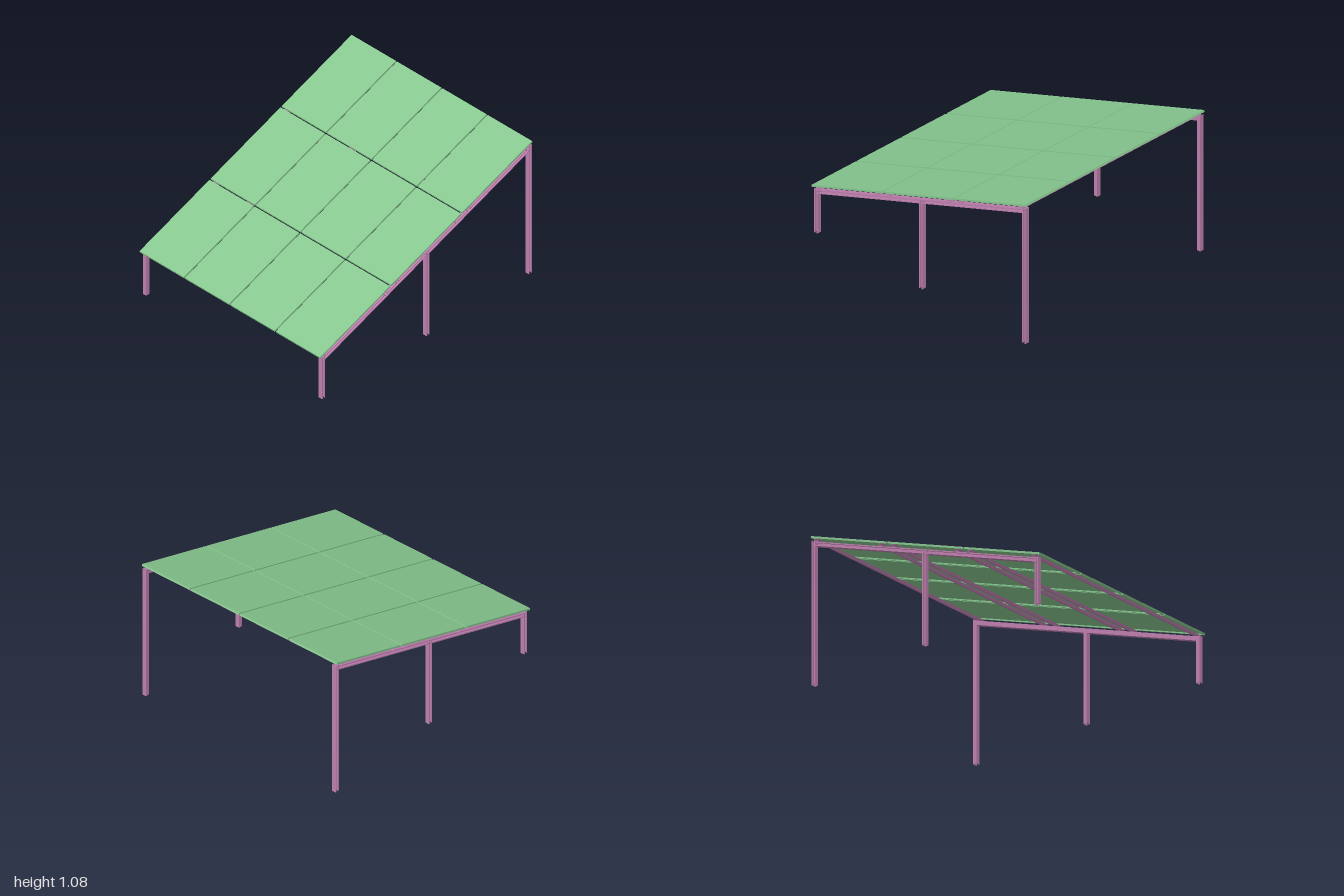
import * as THREE from 'three';

const TILT = THREE.MathUtils.degToRad(20);
const green = new THREE.MeshStandardMaterial({ color: 0x88c890 });
const pink = new THREE.MeshStandardMaterial({ color: 0xc080b0 });

function add(parent, name, geometry, material, x, y, z) {
  const mesh = new THREE.Mesh(geometry, material);
  mesh.name = name;
  mesh.position.set(x, y, z);
  parent.add(mesh);
  return mesh;
}

// Lipped C-channel running along z, centred, with its slot towards +y
function channel(width, depth, length, lip = 0.008, t = 0.003) {
  const w = width / 2, d = depth / 2;
  const shape = new THREE.Shape([
    [-w, -d], [w, -d], [w, d], [w - lip, d], [w - lip, d - t], [w - t, d - t],
    [w - t, -d + t], [-w + t, -d + t], [-w + t, d - t], [-w + lip, d - t],
    [-w + lip, d], [-w, d],
  ].map(([x, y]) => new THREE.Vector2(x, y)));
  return new THREE.ExtrudeGeometry(shape, { depth: length, bevelEnabled: false })
    .translate(0, 0, -length / 2);
}

// Solar panel: thin sheet with a frame hanging below its rim
function panel(width, length, thickness) {
  const group = new THREE.Group();
  group.name = 'panel';
  const sheet = 0.005, rim = 0.008, drop = thickness - sheet;
  add(group, 'sheet', new THREE.BoxGeometry(width, sheet, length), green, 0, (thickness - sheet) / 2, 0);
  for (const s of [-1, 1]) {
    add(group, 'sideFrame', new THREE.BoxGeometry(rim, drop, length), green,
      s * (width - rim) / 2, -sheet / 2, 0);
    add(group, 'endFrame', new THREE.BoxGeometry(width - 2 * rim, drop, rim), green,
      0, -sheet / 2, s * (length - rim) / 2);
  }
  return group;
}

export function createModel() {
  const model = new THREE.Group();
  model.name = 'solarPanelTable';

  // Tilted roof: panels, purlins and beams share one slope
  const roof = new THREE.Group();
  roof.name = 'roof';
  roof.position.y = 0.715;
  roof.rotation.x = TILT;
  model.add(roof);

  // Panel grid, four columns by three rows
  const gap = 0.011, thickness = 0.014, roofWidth = 1.675, roofLength = 2.1233;
  const w = (roofWidth - 3 * gap) / 4, l = (roofLength - 2 * gap) / 3;
  for (let col = 0; col < 4; col++) {
    for (let row = 0; row < 3; row++) {
      const p = panel(w, l, thickness);
      p.position.set((col - 1.5) * (w + gap) - 0.0025, 0, (row - 1) * (l + gap));
      roof.add(p);
    }
  }

  // Two purlins under every row of panels
  const purlin = channel(0.026, 0.019, 1.678).rotateY(Math.PI / 2);
  for (let row = -1; row <= 1; row++) {
    for (const s of [-1, 1]) {
      add(roof, 'purlin', purlin, pink, 0.001, -0.0165, row * (l + gap) + s * 0.297);
    }
  }

  // Sloping beam and three posts on each side, slots facing outwards
  const posts = [[0.962, 0.34], [-0.02, 0.685], [-0.983, 1.053]];
  for (const side of [-1, 1]) {
    const turn = -side * Math.PI / 2;
    add(roof, 'beam', channel(0.03, 0.032, 2.075).rotateZ(turn), pink, side * 0.816, -0.041, 0.0045);
    for (const [z, height] of posts) {
      const post = channel(0.03, 0.032, height).rotateZ(turn).rotateX(-Math.PI / 2);
      add(model, 'post', post, pink, side * 0.816, height / 2, z);
    }
  }
  return model;
}
